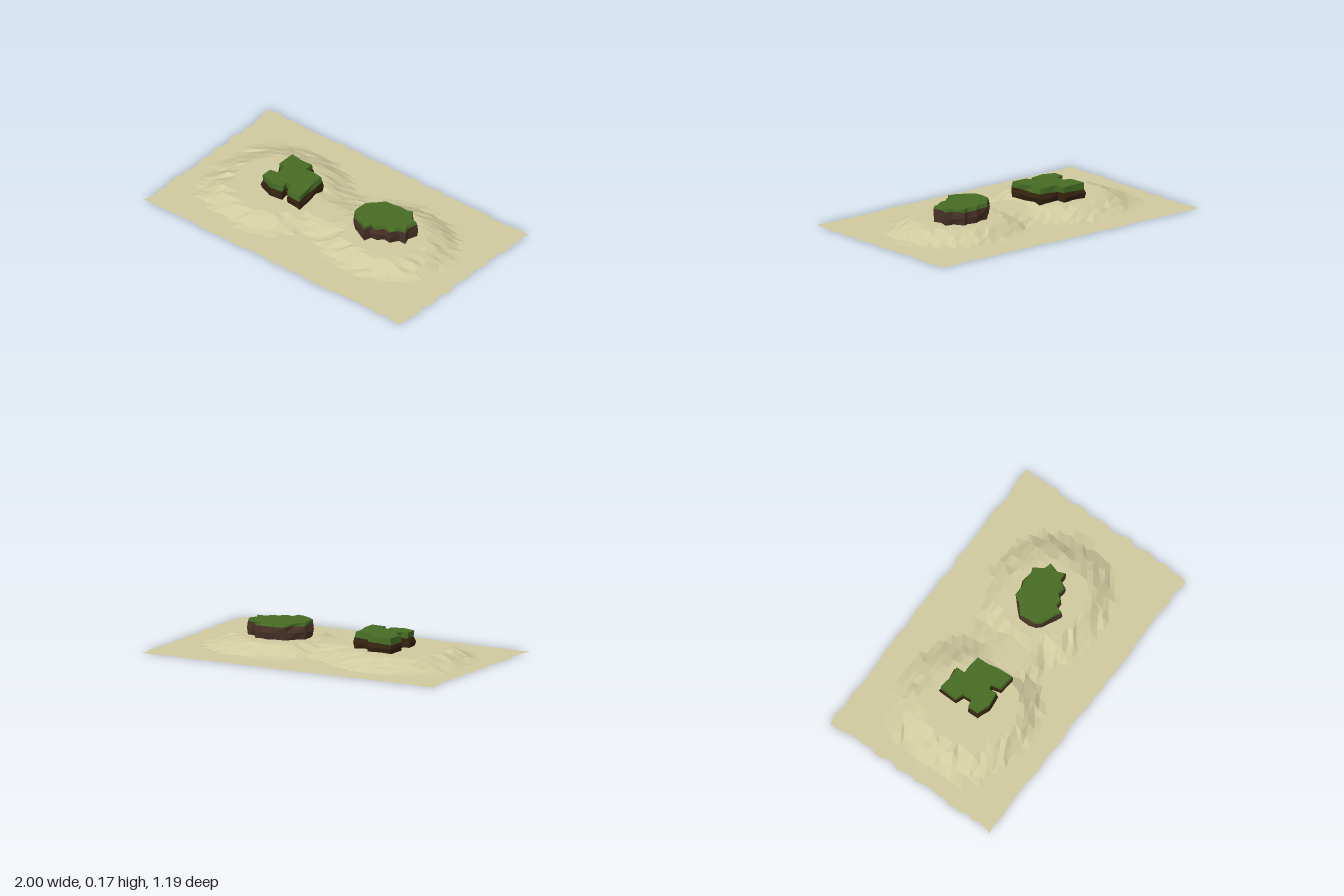
import * as THREE from 'three';

const sandMat = new THREE.MeshStandardMaterial({ color: 0xd0ca9f, flatShading: true, side: THREE.DoubleSide });
sandMat.name = 'sand';
const grassMat = new THREE.MeshStandardMaterial({ color: 0x476d24, flatShading: true });
grassMat.name = 'grass';
const soilMat = new THREE.MeshStandardMaterial({ color: 0x4a3327, flatShading: true });
soilMat.name = 'soil';
const darkSoilMat = new THREE.MeshStandardMaterial({ color: 0x35230f, flatShading: true });
darkSoilMat.name = 'dark soil';

// Seeded jitter in -1..1
function seeded(seed) {
  let s = seed;
  return () => {
    s = (s * 16807) % 2147483647;
    return (s / 2147483647) * 2 - 1;
  };
}

const clamp01 = (v) => Math.min(1, Math.max(0, v));

// Rounded-square mound with a flat top; ramps are fractions of the radius
function mound(x, z, cx, cz, rx, rz, ramp, frontRamp) {
  const u = Math.abs(x - cx) / rx, v = Math.abs(z - cz) / rz;
  const d = Math.pow(u ** 2.4 + v ** 2.4, 1 / 2.4);
  const front = z > cz ? v / (u + v + 1e-6) : 0;
  return 0.067 * clamp01((1 - d) / (ramp + (frontRamp - ramp) * front));
}

function sandHeight(x, z) {
  const left = mound(x, z, -0.44, 0.01, 0.42, 0.42, 0.36, 0.2);
  const right = mound(x, z, 0.39, -0.01, 0.41, 0.37, 0.34, 0.34);
  // Low saddle joining the two mounds
  const saddle = Math.abs(x - 0.02) < 0.3
    ? 0.056 * Math.min(clamp01((0.25 - z) / 0.11), clamp01((z + 0.26) / 0.22)) : 0;
  return Math.max(left, right, saddle);
}

// Sand sheet with ragged edges and stepped, irregular slopes
function makeSand() {
  const rand = seeded(4211);
  const nx = 32, nz = 28;
  const geo = new THREE.PlaneGeometry(1.97, 1.17, nx, nz).rotateX(-Math.PI / 2);
  const p = geo.attributes.position;
  for (let j = 0; j <= nz; j++) {
    for (let i = 0; i <= nx; i++) {
      const k = j * (nx + 1) + i;
      const x = p.getX(k) + rand() * 0.015;
      const z = p.getZ(k) + rand() * 0.009;
      const y = sandHeight(x + rand() * 0.022, z + rand() * 0.018);
      p.setXYZ(k, x, y, z);
    }
  }
  const flat = geo.toNonIndexed();
  flat.computeVertexNormals();
  const mesh = new THREE.Mesh(flat, sandMat);
  mesh.name = 'sandSheet';
  return mesh;
}

// Scaled and roughened copy of an outline at a height
function makeRing(outline, c, grow, y, jitter, rand) {
  return outline.map(([x, z]) => {
    const dx = x - c[0], dz = z - c[1], r = Math.hypot(dx, dz);
    const k = 1 + (grow + rand() * jitter) / r;
    return [c[0] + dx * k, y + rand() * jitter * 0.6, c[1] + dz * k];
  });
}

// Walls between successive rings, with an optional cap on the last ring
function ringMesh(name, rings, material, cap) {
  const n = rings[0].length;
  const pos = rings.flat(2), idx = [];
  for (let r = 0; r < rings.length - 1; r++) {
    for (let i = 0; i < n; i++) {
      const a = r * n + i, b = r * n + (i + 1) % n;
      idx.push(a, a + n, b, b, a + n, b + n);
    }
  }
  if (cap) {
    const top = rings[rings.length - 1], base = (rings.length - 1) * n;
    const pts = top.map((q) => new THREE.Vector2(q[0], q[2]));
    for (const [a, b, c] of THREE.ShapeUtils.triangulateShape(pts, [])) {
      const A = pts[a], B = pts[b], C = pts[c];
      const cross = (B.x - A.x) * (C.y - A.y) - (B.y - A.y) * (C.x - A.x);
      if (cross < 0) idx.push(base + a, base + b, base + c);
      else idx.push(base + a, base + c, base + b);
    }
  }
  const geo = new THREE.BufferGeometry();
  geo.setAttribute('position', new THREE.Float32BufferAttribute(pos, 3));
  geo.setIndex(idx);
  const flat = geo.toNonIndexed();
  flat.computeVertexNormals();
  const mesh = new THREE.Mesh(flat, material);
  mesh.name = name;
  return mesh;
}

// Soil block with a thin grass top
function makeIsland(name, outline, center, grassBottom, top, soil, seed) {
  const rand = seeded(seed);
  const group = new THREE.Group();
  group.name = name;
  const ring = (grow, y, jitter) => makeRing(outline, center, grow, y, jitter, rand);
  const lip = ring(0, grassBottom, 0.006);
  const mid = (0.07 + grassBottom) / 2;
  group.add(ringMesh('soilBank', [ring(-0.004, 0.055, 0.004), ring(0.006, mid, 0.006), lip], soil, false));
  group.add(ringMesh('grassTop', [lip, ring(-0.004, top, 0.005)], grassMat, true));
  return group;
}

export function createModel() {
  const model = new THREE.Group();
  model.name = 'twinIslands';
  model.add(makeSand());

  const notched = [
    [-0.47, -0.16], [-0.39, -0.15], [-0.31, -0.16], [-0.31, -0.1], [-0.25, -0.1], [-0.18, -0.09],
    [-0.18, -0.02], [-0.17, 0.05], [-0.16, 0.15], [-0.26, 0.14], [-0.275, 0.08], [-0.31, 0.09],
    [-0.3, 0.14], [-0.39, 0.15], [-0.47, 0.12], [-0.47, 0.05], [-0.42, 0.04], [-0.42, -0.02], [-0.47, -0.04],
  ];
  const rounded = [
    [0.18, 0.02], [0.18, -0.05], [0.23, -0.09], [0.27, -0.14], [0.33, -0.145], [0.37, -0.16],
    [0.43, -0.15], [0.46, -0.16], [0.5, -0.1], [0.55, -0.09], [0.53, -0.03], [0.55, 0.02],
    [0.5, 0.02], [0.47, 0.07], [0.42, 0.06], [0.39, 0.1], [0.35, 0.1], [0.335, 0.15],
    [0.29, 0.125], [0.22, 0.09], [0.19, 0.06],
  ];
  model.add(makeIsland('notchedIsland', notched, [-0.31, 0], 0.122, 0.16, darkSoilMat, 77));
  model.add(makeIsland('roundedIsland', rounded, [0.36, -0.02], 0.146, 0.166, soilMat, 1913));
  return model;
}
